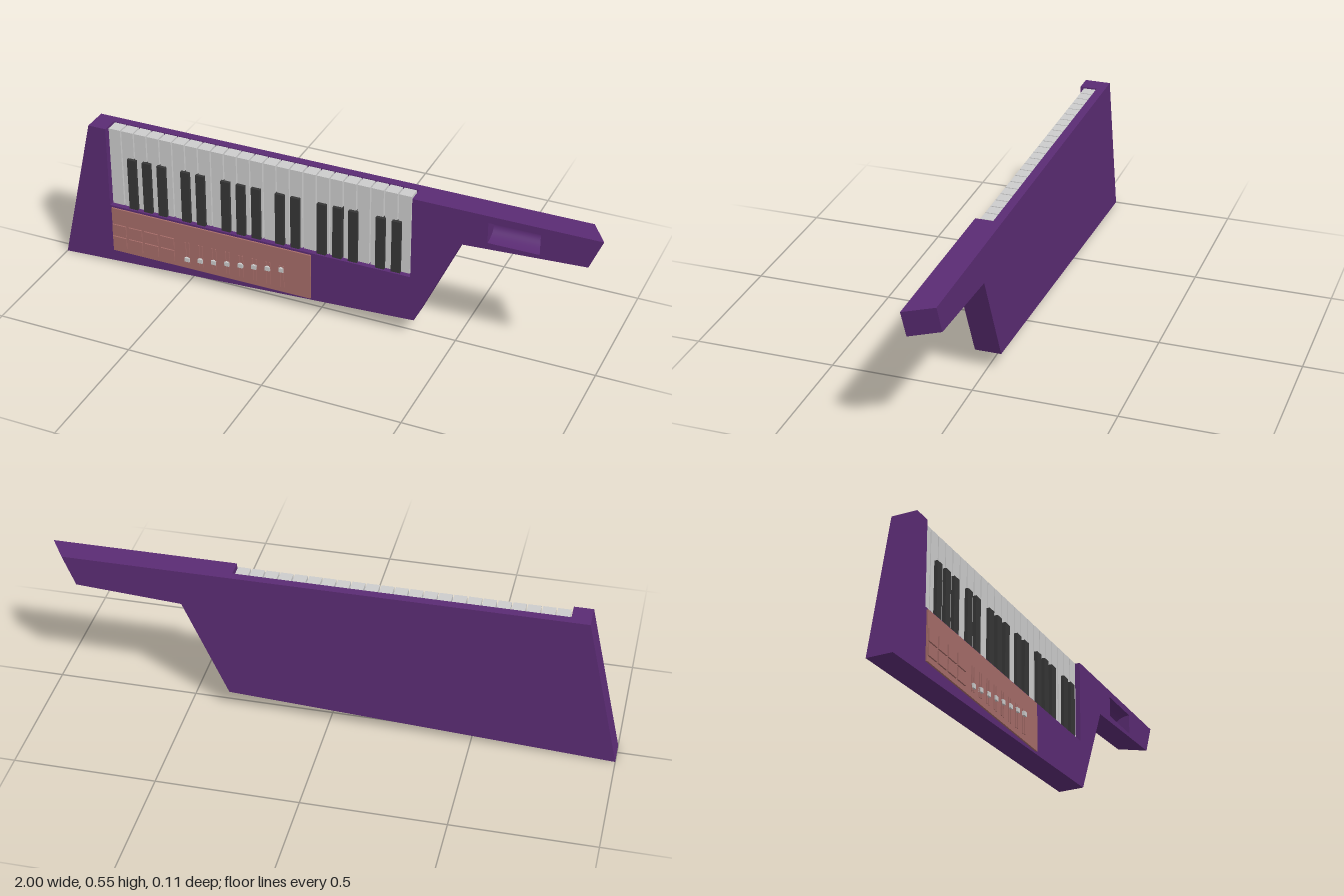
import * as THREE from 'three';

const mat = (color, side = THREE.FrontSide) => new THREE.MeshStandardMaterial({ color, side, flatShading: true });
const purple = mat(0x5a2b73);
const white = mat(0xcccccc);
const black = mat(0x363636);
const brown = mat(0xa56c68);

const BACK = -0.053, POCKET = -0.022, FRONT = 0.04;
const GRIP = { x0: 0.61, x1: 0.79, y0: 0.45, y1: 0.527 };

function add(parent, name, geometry, material) {
  const mesh = new THREE.Mesh(geometry, material);
  mesh.name = name;
  parent.add(mesh);
  return mesh;
}

// Box given by its limits on each axis
function box(parent, name, material, x0, x1, y0, y1, z0, z1) {
  const mesh = add(parent, name, new THREE.BoxGeometry(x1 - x0, y1 - y0, z1 - z0), material);
  mesh.position.set((x0 + x1) / 2, (y0 + y1) / 2, (z0 + z1) / 2);
  return mesh;
}

const toShape = (pts) => new THREE.Shape(pts.map(([x, y]) => new THREE.Vector2(x, y)));

// Extrude between two depths, with the neck end slanting inwards to the back
function slab(shape, z0, z1) {
  const g = new THREE.ExtrudeGeometry(shape, { depth: z1 - z0, bevelEnabled: false });
  g.translate(0, 0, z0);
  const p = g.attributes.position;
  for (let i = 0; i < p.count; i++) {
    if (p.getX(i) > 0.9) {
      p.setX(i, p.getX(i) - 0.06 * (FRONT - p.getZ(i)) / (FRONT - BACK));
    }
  }
  g.computeVertexNormals();
  return g;
}

function buildBody() {
  const body = new THREE.Group();
  body.name = 'body';
  const lower = [[-1, 0], [0.36, 0.07], [0.52, 0.421], [0.955, 0.445], [1, 0.553]];
  const topLeft = [-0.875, 0.553];
  add(body, 'bodyBack', slab(toShape([...lower, topLeft]), BACK, POCKET), purple);

  // Front layer with the key pocket cut from the top and a hole for the grip
  const pocket = [[0.343, 0.553], [0.343, 0.243], [-0.808, 0.243], [-0.808, 0.553]];
  const front = toShape([...lower, ...pocket, topLeft]);
  const { x0, x1, y0, y1 } = GRIP;
  front.holes.push(toShape([[x0, y0], [x0, y1], [x1, y1], [x1, y0]]));
  add(body, 'bodyFront', slab(front, POCKET, FRONT), purple);

  // Rounded hollow in the neck
  const scoop = new THREE.CylinderGeometry(1, 1, x1 - x0, 24, 1, true, 0, Math.PI);
  scoop.rotateZ(Math.PI / 2).rotateX(0);
  const p = scoop.attributes.position;
  for (let i = 0; i < p.count; i++) {
    const a = (Math.floor(i % 25) / 24) * Math.PI;
    p.setY(i, (y0 + y1) / 2 + Math.cos(a) * (y1 - y0) / 2);
    p.setZ(i, FRONT - Math.sin(a) * (FRONT - POCKET - 0.001));
    p.setX(i, i < 25 ? x0 : x1);
  }
  scoop.computeVertexNormals();
  const smooth = purple.clone();
  smooth.flatShading = false;
  smooth.side = THREE.DoubleSide;
  add(body, 'neckGrip', scoop, smooth);
  return body;
}

function buildKeys() {
  const keys = new THREE.Group();
  keys.name = 'keyboard';
  const count = 23, start = -0.805, pitch = 1.143 / count;
  for (let i = 0; i < count; i++) {
    const x = start + i * pitch;
    box(keys, 'whiteKey', white, x + 0.002, x + pitch - 0.003, 0.246, 0.55, POCKET, 0.025);
  }
  // Black keys in alternating groups of three and two
  const groups = [[-0.714, 3], [-0.505, 2], [-0.35, 3], [-0.144, 2], [0.013, 3], [0.229, 2]];
  for (const [first, n] of groups) {
    for (let i = 0; i < n; i++) {
      const x = first + i * 0.058;
      box(keys, 'blackKey', black, x - 0.0165, x + 0.0165, 0.246, 0.447, 0, 0.037);
    }
  }
  return keys;
}

function buildPanel() {
  const panel = new THREE.Group();
  panel.name = 'controlPanel';
  box(panel, 'panelPlate', brown, -0.8, -0.024, 0.058, 0.236, FRONT - 0.005, 0.046);

  // Two rows of four pads
  for (let c = 0; c < 4; c++) {
    for (let r = 0; r < 2; r++) {
      const x = -0.798 + c * 0.064, y = 0.077 + r * 0.05;
      box(panel, 'pad', brown, x, x + 0.054, y, y + 0.044, 0.045, 0.051);
    }
  }

  // Sliders whose knobs climb to the right
  for (let i = 0; i < 8; i++) {
    const x = -0.5 + i * 0.0525, y = 0.098 + i * 0.0077;
    for (const s of [-1, 1]) {
      box(panel, 'sliderRail', brown, x + s * 0.007 - 0.002, x + s * 0.007 + 0.002, 0.079, 0.168, 0.045, 0.05);
    }
    box(panel, 'sliderKnob', white, x - 0.009, x + 0.009, y - 0.008, y + 0.008, 0.045, 0.055);
  }
  return panel;
}

export function createModel() {
  const model = new THREE.Group();
  model.name = 'shoulderKeyboard';
  model.add(buildBody(), buildKeys(), buildPanel());
  return model;
}
